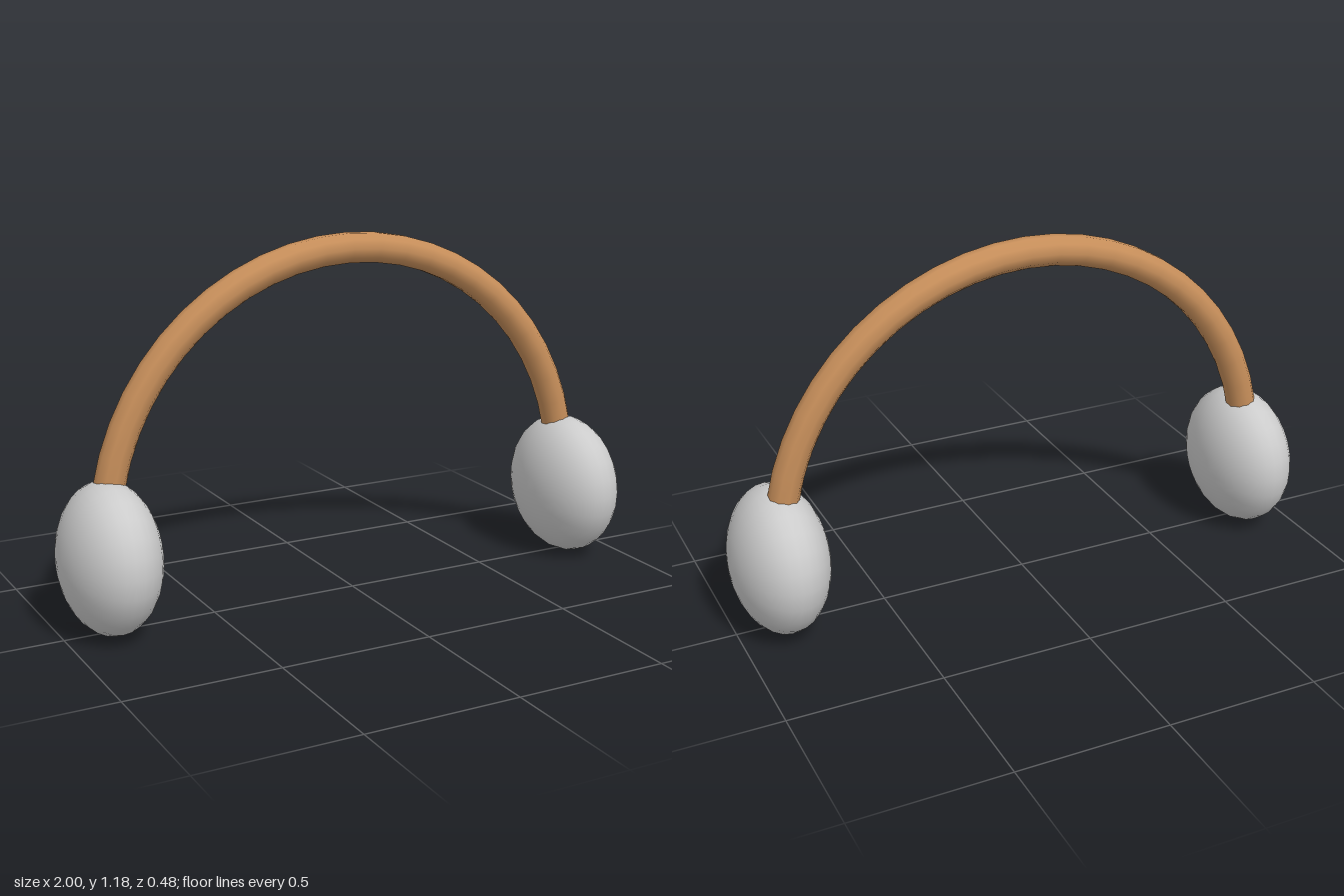
import * as THREE from 'three';

// Circular arc in the xy plane, from the left ear (+x) over the top to the right ear
class BandArc extends THREE.Curve {
  constructor(radius, centerY, z, start) {
    super();
    Object.assign(this, { radius, centerY, z, start });
  }
  getPoint(t, target = new THREE.Vector3()) {
    const a = this.start + t * (Math.PI - 2 * this.start);
    return target.set(this.radius * Math.cos(a), this.centerY + this.radius * Math.sin(a), this.z);
  }
}

export function createModel() {
  const group = new THREE.Group();
  const grey = new THREE.MeshStandardMaterial({ color: 0xcccccc });
  const tan = new THREE.MeshStandardMaterial({ color: 0xc68e5a, side: THREE.DoubleSide });

  // Headband, its open ends buried in the ear pads
  const arc = new BandArc(0.843, 0.292, -0.03, 0.19);
  const band = new THREE.Mesh(new THREE.TubeGeometry(arc, 24, 0.05, 10, false), tan);
  band.name = 'headband';
  group.add(band);

  // Ear pads: flattened balls with their poles on the x axis
  for (const side of [1, -1]) {
    const geometry = new THREE.SphereGeometry(1, 24, 16);
    geometry.rotateZ(Math.PI / 2);
    geometry.scale(0.154, 0.242, 0.242);
    const pad = new THREE.Mesh(geometry, grey);
    pad.name = side > 0 ? 'leftEarPad' : 'rightEarPad';
    pad.position.set(side * 0.846, 0.243, 0);
    pad.rotation.z = side * 0.03;
    group.add(pad);
  }
  return group;
}
